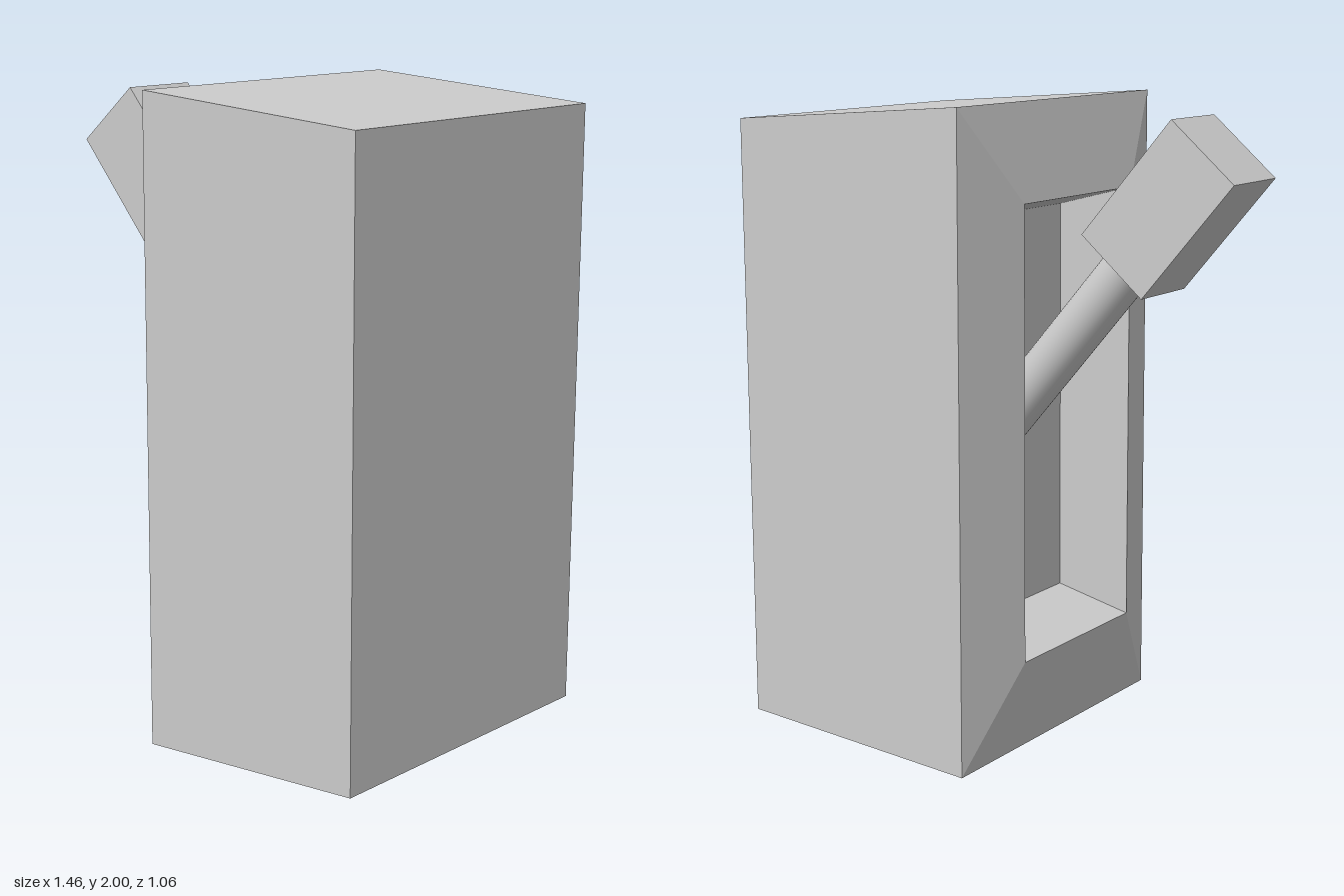
import * as THREE from 'three';

const grey = new THREE.MeshStandardMaterial({ color: 0xcccccc });
const flatGrey = new THREE.MeshStandardMaterial({ color: 0xcccccc, flatShading: true });

// Skin a run of rectangular sections [x, y0, y1, z0, z1], capped at both ends
function loftRectangles(sections) {
  const positions = [];
  const index = [0, 1, 2, 0, 2, 3];
  sections.forEach(([x, y0, y1, z0, z1], i) => {
    positions.push(x, y0, z0, x, y1, z0, x, y1, z1, x, y0, z1);
    if (i === 0) return;
    const a = (i - 1) * 4, b = i * 4;
    for (let j = 0; j < 4; j++) {
      const k = (j + 1) % 4;
      index.push(a + j, b + k, a + k, a + j, b + j, b + k);
    }
  });
  const e = (sections.length - 1) * 4;
  index.push(e, e + 2, e + 1, e, e + 3, e + 2);
  const geometry = new THREE.BufferGeometry();
  geometry.setAttribute('position', new THREE.Float32BufferAttribute(positions, 3));
  geometry.setIndex(index);
  const flat = geometry.toNonIndexed();
  flat.computeVertexNormals();
  return flat;
}

function addMesh(parent, name, geometry, material) {
  const mesh = new THREE.Mesh(geometry, material);
  mesh.name = name;
  parent.add(mesh);
  return mesh;
}

export function createModel() {
  const model = new THREE.Group();
  model.name = 'leverSwitch';

  // Housing: tapered block, bevelled face, then the recess sinking back in
  addMesh(model, 'housing', loftRectangles([
    [0.73, 0.06, 1.94, -0.53, 0.53],
    [-0.07, 0, 2, -0.53, 0.53],
    [-0.14, 0.31, 1.71, -0.29, 0.31],
    [0.11, 0.375, 1.645, -0.275, 0.295],
  ]), flatGrey);

  // Lever tilted up and out of the recess
  const lever = new THREE.Group();
  lever.name = 'lever';
  lever.position.set(-0.477, 1.695, 0.018);
  lever.rotation.z = 0.708;
  model.add(lever);

  addMesh(lever, 'handle', new THREE.BoxGeometry(0.273, 0.462, 0.257), flatGrey);
  const rodLength = 0.72;
  addMesh(lever, 'rod', new THREE.CylinderGeometry(0.078, 0.078, rodLength, 32), grey)
    .position.set(0, -0.22 - rodLength / 2, -0.003);

  return model;
}
